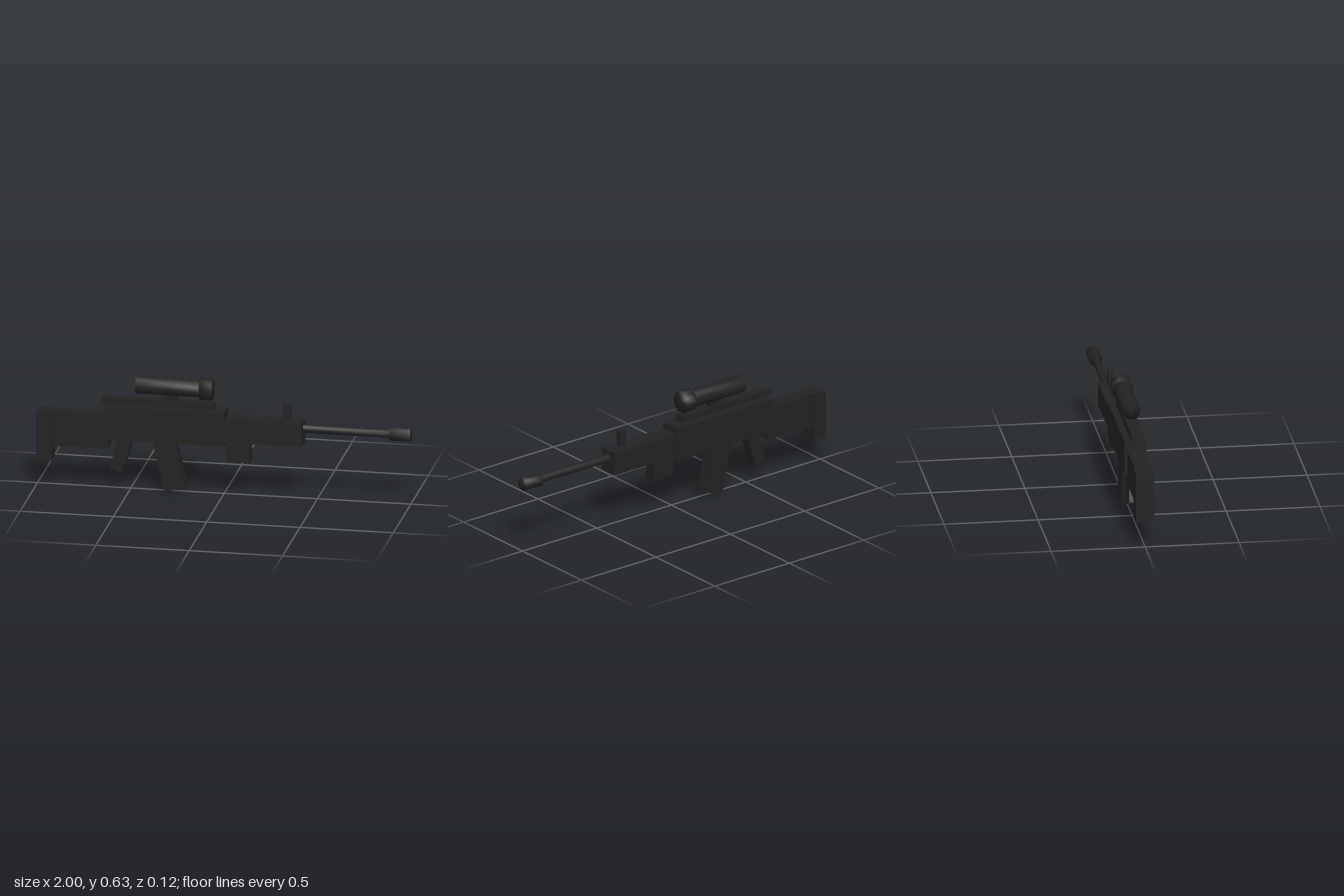
import * as THREE from 'three';
import { mergeVertices } from 'three/addons/utils/BufferGeometryUtils.js';

export function createModel() {
  const model = new THREE.Group();
  model.name = 'rifle';
  const gunmetal = new THREE.MeshStandardMaterial({ color: 0x222222 });
  gunmetal.name = 'gunmetal';

  const add = (name, geometry) => {
    const mesh = new THREE.Mesh(geometry, gunmetal);
    mesh.name = name;
    model.add(mesh);
    return mesh;
  };

  // Box given by its x range, y range and half depth
  const box = (name, x0, x1, y0, y1, halfZ) =>
    add(name, new THREE.BoxGeometry(x1 - x0, y1 - y0, halfZ * 2))
      .position.set((x0 + x1) / 2, (y0 + y1) / 2, 0);

  // Box leaning in the xy plane, placed by the centre of its lower end
  const leaningBox = (name, x, y, width, length, halfZ, angle) => {
    const geometry = new THREE.BoxGeometry(width, length, halfZ * 2);
    geometry.translate(0, length / 2, 0);
    const mesh = add(name, geometry);
    mesh.rotation.z = angle;
    mesh.position.set(x, y, 0);
  };

  // Tube along x with softly shaded ends
  const rod = (name, x0, x1, y, radius, sides, turn = 0) => {
    let geometry = new THREE.CylinderGeometry(radius, radius, x1 - x0, sides, 1, false, turn);
    geometry.deleteAttribute('normal');
    geometry.deleteAttribute('uv');
    geometry = mergeVertices(geometry);
    geometry.computeVertexNormals();
    geometry.rotateZ(-Math.PI / 2);
    add(name, geometry).position.set((x0 + x1) / 2, y, 0);
  };

  // Body
  box('receiver', -0.635, 0.01, 0.277, 0.459, 0.059);
  box('handguard', 0.005, 0.425, 0.298, 0.425, 0.053);
  box('stock', -0.99, -0.612, 0.223, 0.408, 0.043);
  box('buttPlate', -1, -0.915, 0.14, 0.409, 0.049);

  // Barrel
  rod('barrel', 0.4, 0.95, 0.383, 0.023, 8);
  rod('muzzle', 0.89, 1, 0.383, 0.038, 8);

  // Parts under the body
  leaningBox('magazine', -0.2575, 0.0135, 0.118, 0.3, 0.034, 0.227);
  leaningBox('grip', -0.575, 0.102, 0.072, 0.22, 0.03, -0.28);
  box('foregrip', 0.015, 0.143, 0.185, 0.293, 0.033);

  // Sights
  box('topRail', -0.655, -0.05, 0.466, 0.5, 0.024);
  box('scopeMount', -0.332, -0.248, 0.495, 0.54, 0.021);
  rod('scopeTube', -0.47, -0.1, 0.573, 0.048, 10, Math.PI / 10 * 5);
  rod('scopeRing', -0.127, -0.062, 0.573, 0.06, 10, 0);
  box('frontSight', 0.317, 0.357, 0.432, 0.52, 0.014);
  return model;
}
